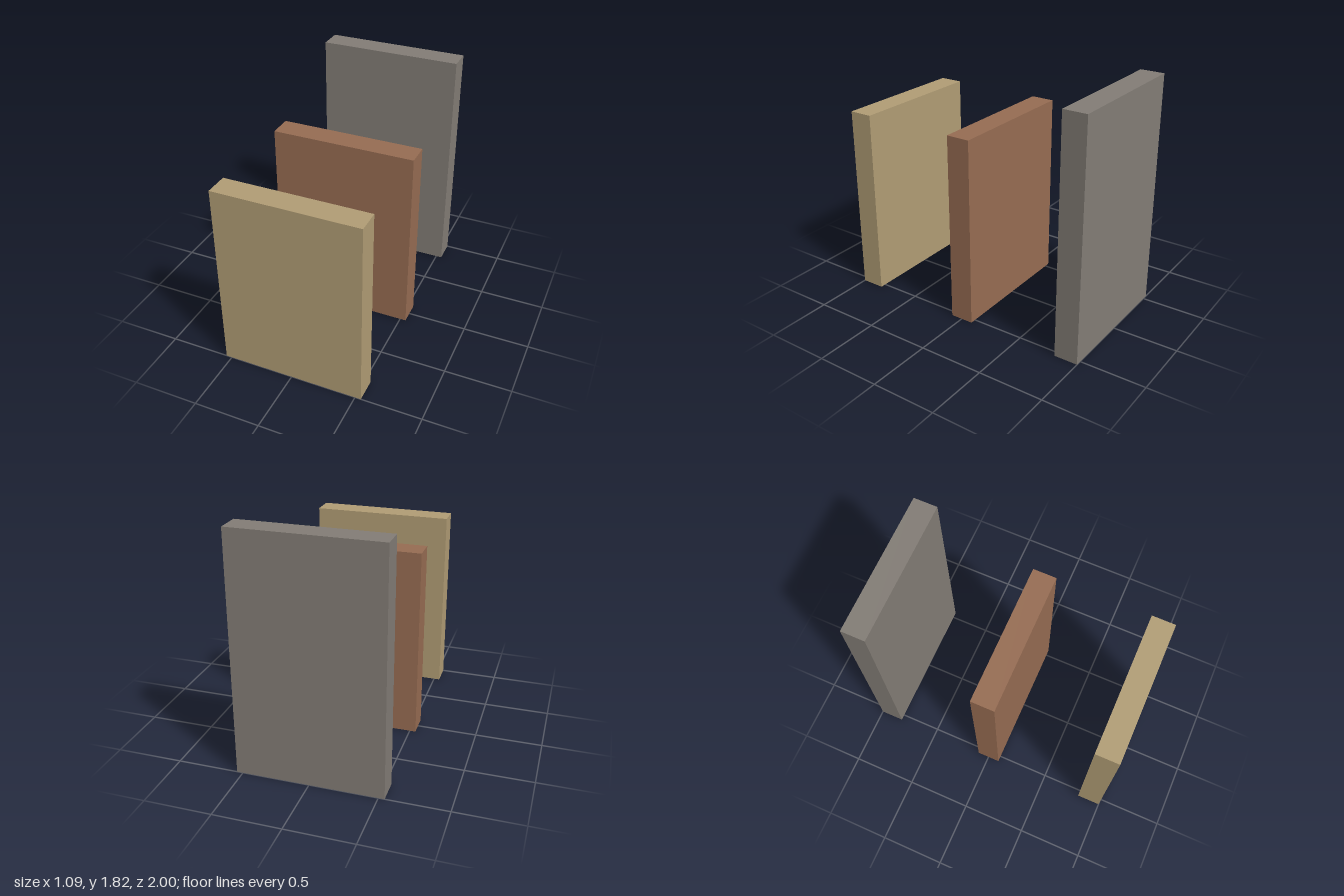
import * as THREE from 'three';

const WIDTH = 1.09;
const DEPTH = 0.182;

function material(name, color) {
  const m = new THREE.MeshStandardMaterial({ color });
  m.name = name;
  return m;
}

export function createModel() {
  const group = new THREE.Group();
  group.name = 'standingSlabs';

  // Three upright slabs in a row, the rear one taller
  const slabs = [
    { name: 'frontSlab', height: 1.455, z: 0.909, mat: material('tan', 0xb09c74) },
    { name: 'middleSlab', height: 1.455, z: 0, mat: material('brown', 0x966c52) },
    { name: 'rearSlab', height: 1.818, z: -0.909, mat: material('grey', 0x827c75) },
  ];

  for (const { name, height, z, mat } of slabs) {
    const slab = new THREE.Mesh(new THREE.BoxGeometry(WIDTH, height, DEPTH), mat);
    slab.name = name;
    slab.position.set(0, height / 2, z);
    group.add(slab);
  }
  return group;
}
